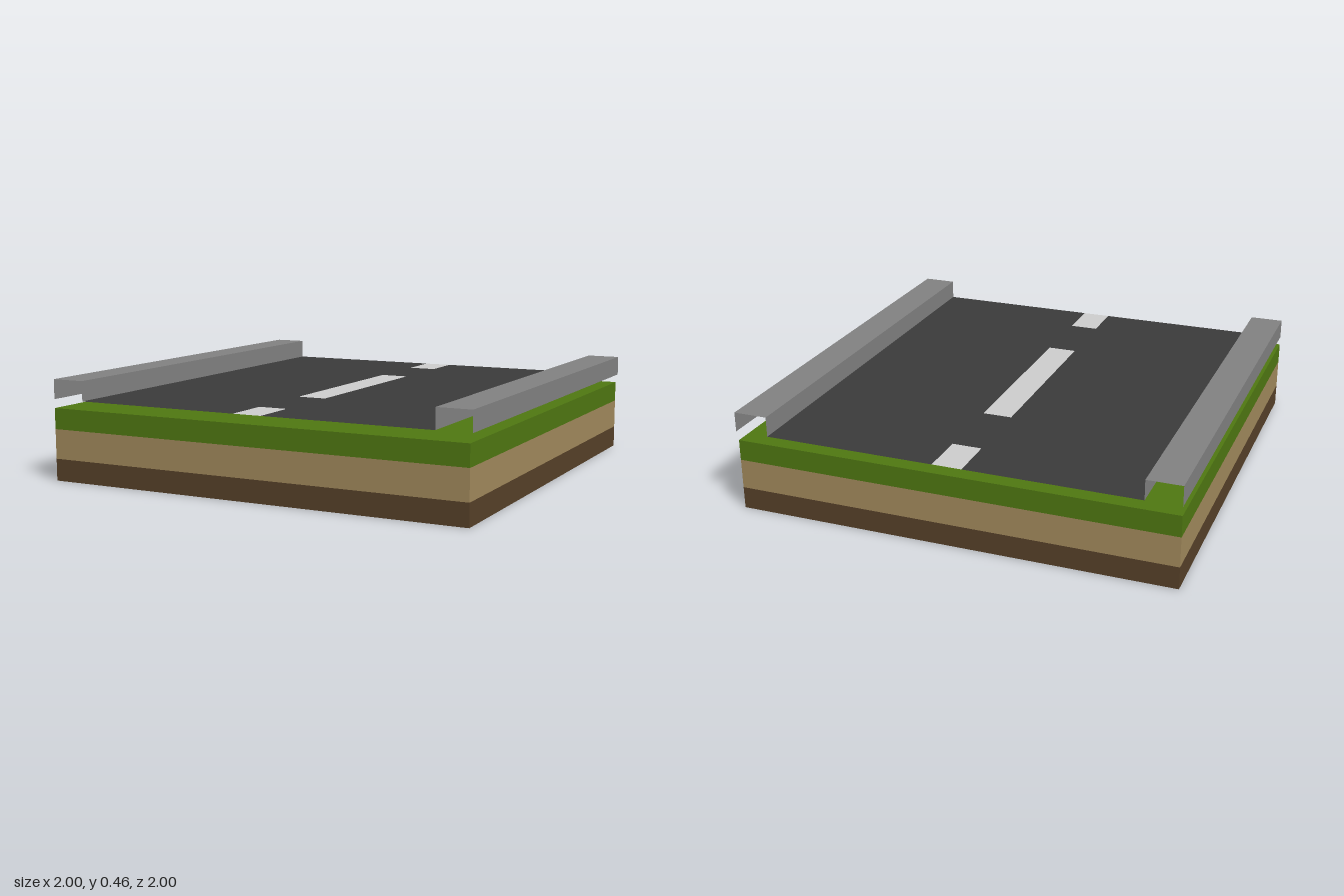
import * as THREE from 'three';

const SLAB_W = 1.99, SLAB_X = -0.005, SLAB_TOP = 0.33;
const ROAD_Y = 0.37, KERB_TOP = 0.46, ROAD_HALF = 0.845, DASH_HALF = 0.067;

const mat = (color) =>
  new THREE.MeshStandardMaterial({ color, side: THREE.DoubleSide, flatShading: true });
const grass = mat(0x4e7611), soil = mat(0xa0885b), deepSoil = mat(0x554028);
const asphalt = mat(0x3a3a3a), concrete = mat(0x808080), paint = mat(0xcccccc);

function add(parent, name, geometry, material) {
  const mesh = new THREE.Mesh(geometry, material);
  mesh.name = name;
  parent.add(mesh);
  return mesh;
}

// Level sheet between two x and two z limits, facing up or down
function sheet(x0, x1, z0, z1, y, facing = 1) {
  return new THREE.PlaneGeometry(x1 - x0, z1 - z0)
    .rotateX(-facing * Math.PI / 2)
    .translate((x0 + x1) / 2, y, (z0 + z1) / 2);
}

// Four open walls around the slab
function band(y0, y1) {
  const g = new THREE.CylinderGeometry(Math.SQRT1_2, Math.SQRT1_2, y1 - y0, 4, 1, true)
    .rotateY(Math.PI / 4)
    .scale(SLAB_W, 1, 2)
    .translate(SLAB_X, (y0 + y1) / 2, 0)
    .toNonIndexed();
  g.computeVertexNormals();
  return g;
}

// Upright sheet running along z, facing +x or -x
function wall(x, facing) {
  return new THREE.PlaneGeometry(2, KERB_TOP - ROAD_Y)
    .rotateY(facing * Math.PI / 2)
    .translate(x, (KERB_TOP + ROAD_Y) / 2, 0);
}

export function createModel() {
  const model = new THREE.Group();
  model.name = 'roadTile';

  // Layered ground slab
  const ground = new THREE.Group();
  ground.name = 'ground';
  model.add(ground);
  add(ground, 'deepSoilBand', band(0, 0.1), deepSoil);
  add(ground, 'soilBand', band(0.1, 0.235), soil);
  add(ground, 'grassBand', band(0.235, SLAB_TOP), grass);
  const left = SLAB_X + SLAB_W / 2, right = SLAB_X - SLAB_W / 2;
  add(ground, 'grassTop', sheet(right, left, -1, 1, SLAB_TOP), grass);
  add(ground, 'groundUnderside', sheet(right, left, -1, 1, 0, -1), grass);

  // Road surface: two lanes and a centre strip of alternating paint and asphalt
  const road = new THREE.Group();
  road.name = 'road';
  model.add(road);
  add(road, 'rightLane', sheet(-ROAD_HALF, -DASH_HALF, -1, 1, ROAD_Y), asphalt);
  add(road, 'leftLane', sheet(DASH_HALF, ROAD_HALF, -1, 1, ROAD_Y), asphalt);
  const breaks = [-1, -0.785, -0.44, 0.44, 0.785, 1];
  for (let i = 0; i < breaks.length - 1; i++) {
    const painted = i % 2 === 0;
    add(road, painted ? 'centreDash' : 'centreGap',
      sheet(-DASH_HALF, DASH_HALF, breaks[i], breaks[i + 1], ROAD_Y),
      painted ? paint : asphalt);
  }

  // Hollow kerbs, open at the ends and underneath
  for (const s of [-1, 1]) {
    const kerb = new THREE.Group();
    kerb.name = s > 0 ? 'leftKerb' : 'rightKerb';
    model.add(kerb);
    const a = s * ROAD_HALF;
    add(kerb, 'kerbTop', sheet(Math.min(a, s), Math.max(a, s), -1, 1, KERB_TOP), concrete);
    add(kerb, 'kerbOuterWall', wall(s, s), concrete);
    add(kerb, 'kerbInnerWall', wall(a, -s), concrete);
  }
  return model;
}
